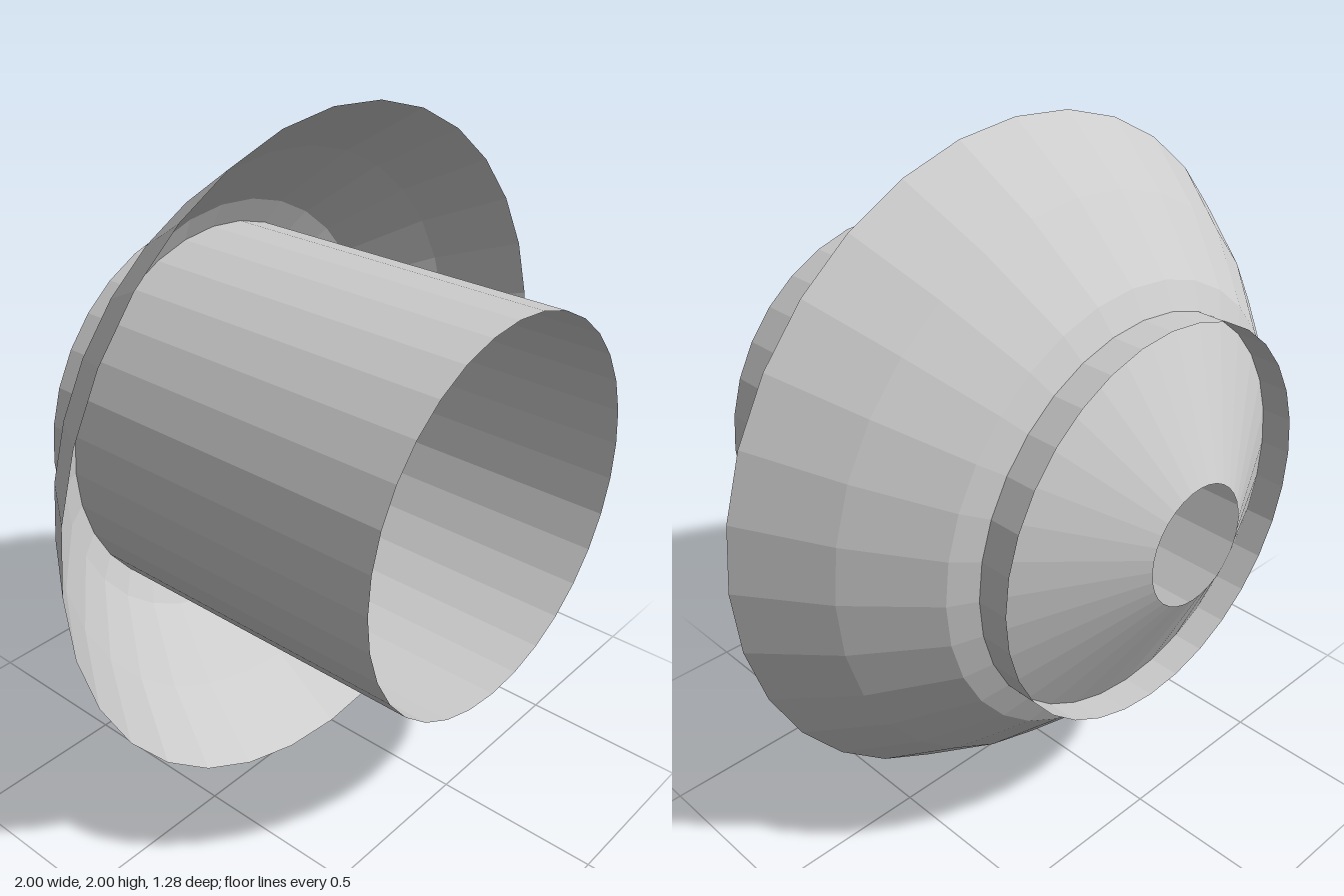
import * as THREE from 'three';

const material = new THREE.MeshStandardMaterial({
  color: 0xcccccc,
  flatShading: true,
  side: THREE.DoubleSide,
});

// Revolves [radius, z] points around the z axis
function revolve(name, profile) {
  const geometry = new THREE.LatheGeometry(profile.map(([r, z]) => new THREE.Vector2(r, z)), 32);
  geometry.rotateX(Math.PI / 2);
  const mesh = new THREE.Mesh(geometry, material);
  mesh.name = name;
  mesh.position.y = 1;
  return mesh;
}

export function createModel() {
  const group = new THREE.Group();
  group.name = 'flaredShade';

  // Thin open bowl, narrowing to a round hole at the back
  group.add(revolve('bowl', [[0.176, -0.64], [0.65, -0.382], [0.84, -0.187], [1, 0.038]]));

  // Open tube passing through the bowl
  group.add(revolve('tube', [[0.576, -0.517], [0.576, 0.64]]));

  return group;
}
